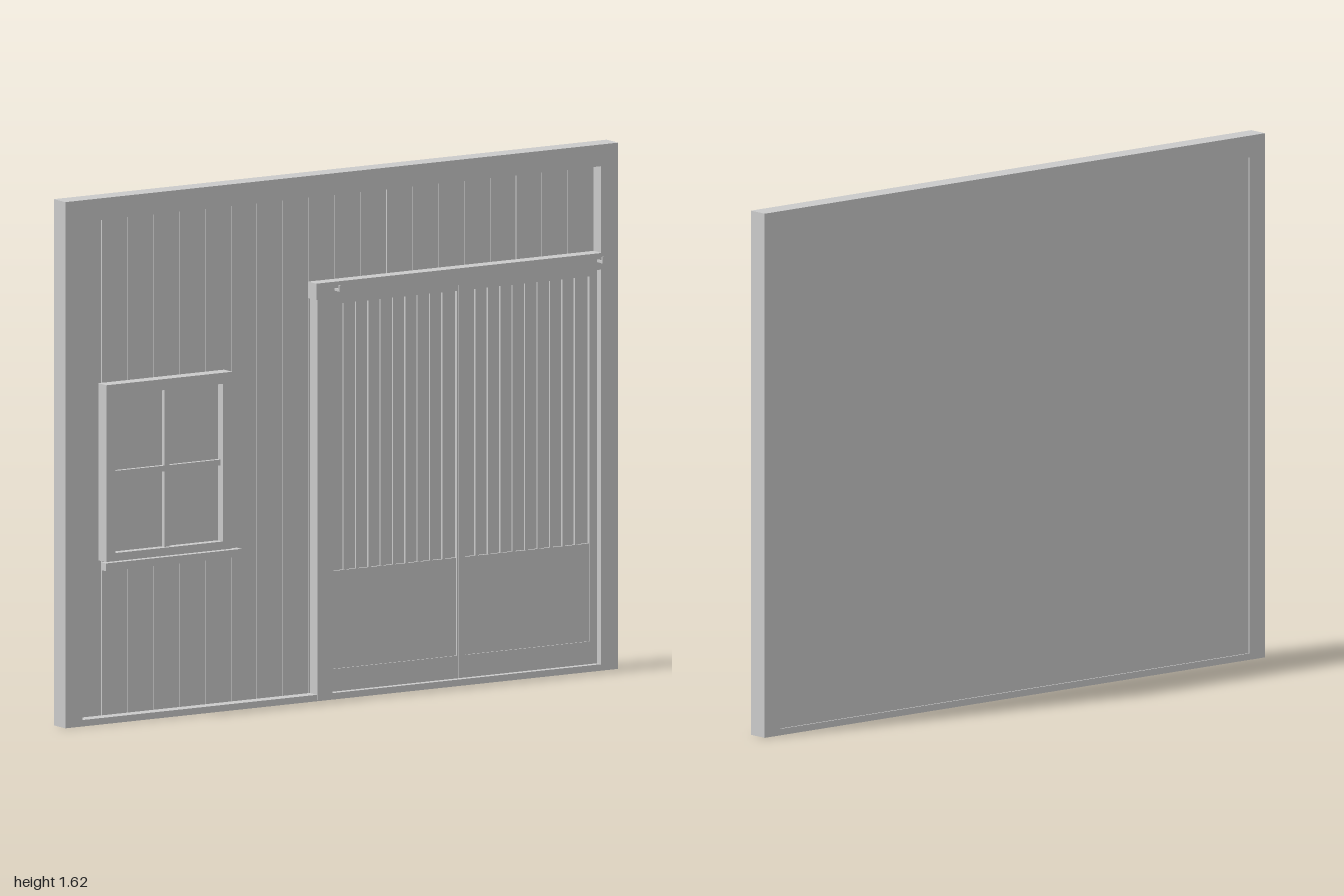
import * as THREE from 'three';

export function createModel() {
  const model = new THREE.Group();
  const grey = new THREE.MeshStandardMaterial({ color: 0xcacaca });
  grey.name = 'light grey';

  // Box given by its limits on each axis
  const box = (parent, name, x0, x1, y0, y1, z0, z1) => {
    const mesh = new THREE.Mesh(new THREE.BoxGeometry(x1 - x0, y1 - y0, z1 - z0), grey);
    mesh.position.set((x0 + x1) / 2, (y0 + y1) / 2, (z0 + z1) / 2);
    mesh.name = name;
    parent.add(mesh);
  };

  // Rectangular frame with an opening, extruded from z0 to z1
  const frame = (parent, name, outer, inner, z0, z1) => {
    const rect = (T, [l, r, b, t]) => new T([[l, b], [r, b], [r, t], [l, t]].map(p => new THREE.Vector2(...p)));
    const shape = rect(THREE.Shape, outer);
    shape.holes.push(rect(THREE.Path, inner));
    const geo = new THREE.ExtrudeGeometry(shape, { depth: z1 - z0, bevelEnabled: false });
    const mesh = new THREE.Mesh(geo, grey);
    mesh.position.z = z0;
    mesh.name = name;
    parent.add(mesh);
  };

  const group = name => {
    const g = new THREE.Group();
    g.name = name;
    model.add(g);
    return g;
  };

  // Outer frame and the slightly sunk back
  frame(model, 'wallFrame', [-1, 1, 0, 1.625], [-0.937, 0.937, 0.02, 1.558], -0.05, 0.015);
  box(model, 'wallCore', -0.937, 0.937, 0.02, 1.558, -0.045, -0.033);

  // Upright boards with hairline gaps
  const siding = group('siding');
  const boards = 20, pitch = 1.874 / boards, gap = 0.002;
  for (let i = 0; i < boards; i++) {
    const x = -0.937 + i * pitch;
    box(siding, 'sidingBoard', x + (i ? gap / 2 : 0), x + pitch - (i < boards - 1 ? gap / 2 : 0),
      0.02, 1.558, -0.033, -0.025);
  }

  // Window: casing, glass, glazing bars and sill
  const win = group('window');
  frame(win, 'windowCasing', [-0.855, -0.4, 0.5, 1.047], [-0.822, -0.434, 0.526, 1.013], -0.025, 0.021);
  box(win, 'windowGlass', -0.822, -0.434, 0.526, 1.013, -0.025, -0.006);
  box(win, 'uprightGlazingBar', -0.637, -0.619, 0.526, 1.013, -0.006, 0.008);
  box(win, 'crossGlazingBar', -0.822, -0.434, 0.759, 0.777, -0.006, 0.0075);
  box(win, 'windowSill', -0.87, -0.378, 0.477, 0.501, 0.014, 0.041);

  // Door casing and header rail
  const surround = group('doorSurround');
  box(surround, 'doorPost', -0.09, -0.036, 0.004, 1.24, -0.025, 0.018);
  box(surround, 'doorHeader', -0.096, 0.937, 1.24, 1.291, -0.025, 0.021);

  // Two door leaves: ribbed above, plain panel below
  for (const [x0, x1, a0, a1] of [[-0.036, 0.4345, -0.016, 0.43], [0.4355, 0.937, 0.46, 0.91]]) {
    const leaf = group('doorLeaf');
    frame(leaf, 'leafFrame', [x0, x1, 0.02, 1.24], [a0, a1, 0.09, 1.217], -0.025, -0.006);
    box(leaf, 'lowerPanel', a0, a1, 0.09, 0.392, -0.025, -0.01);
    box(leaf, 'upperPanel', a0, a1, 0.392, 1.217, -0.025, -0.018);
    const ribs = 10, step = (a1 - a0) / ribs;
    for (let i = 1; i < ribs; i++) {
      const x = a0 + i * step;
      box(leaf, 'rib', x - 0.005, x + 0.005, 0.392, 1.217, -0.018, -0.011);
    }
  }

  // Upturned hooks on the header
  for (const x of [-0.028, 0.923]) {
    const hook = group('hook');
    box(hook, 'hookArm', x - 0.003, x + 0.003, 1.264, 1.272, 0.021, 0.05);
    box(hook, 'hookTip', x - 0.003, x + 0.003, 1.272, 1.284, 0.045, 0.05);
  }

  return model;
}
